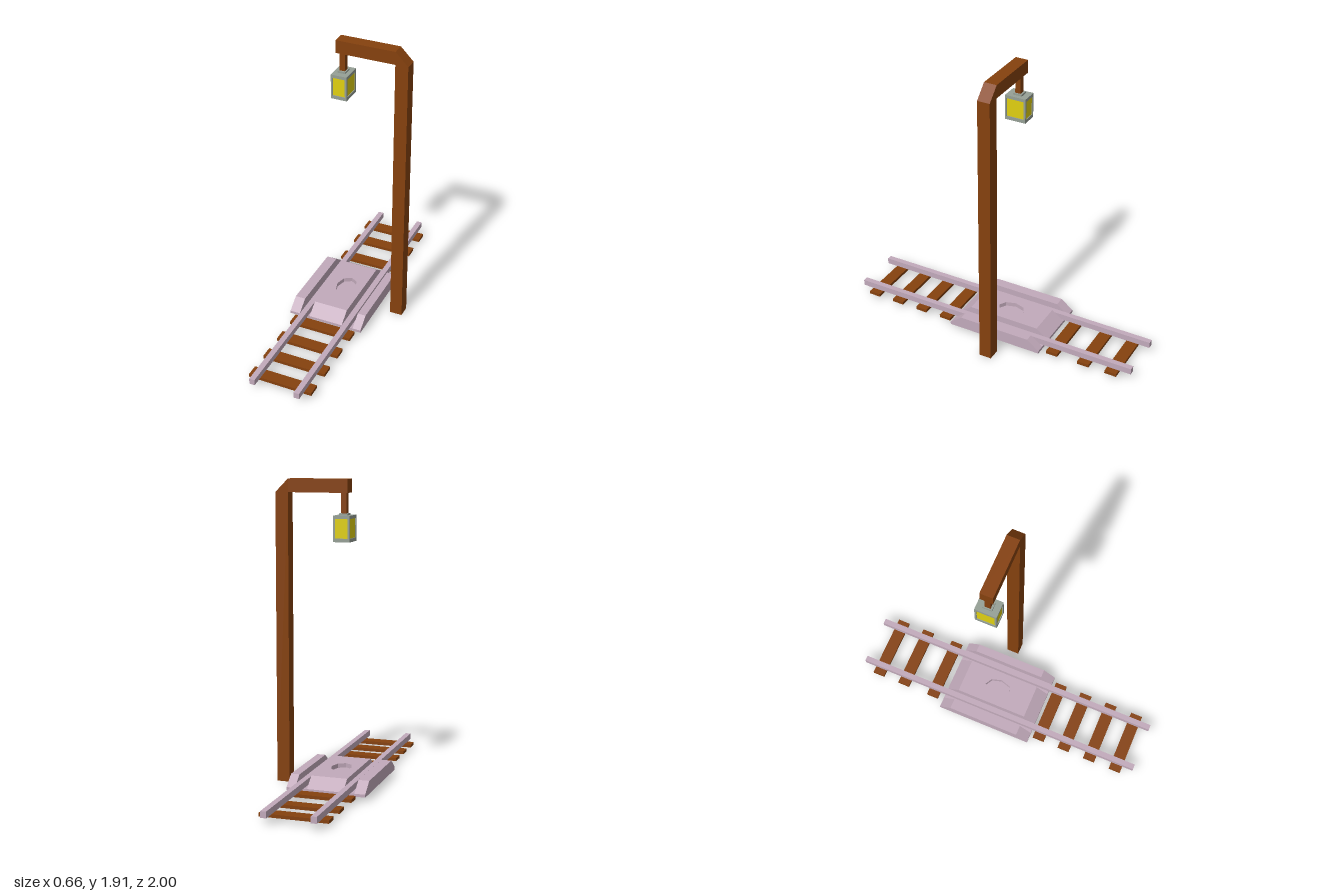
import * as THREE from 'three';

const material = (color, extra = {}) =>
  new THREE.MeshStandardMaterial({ color, flatShading: true, ...extra });

export function createModel() {
  const model = new THREE.Group();
  model.name = 'lampAndTrack';
  const wood = material(0x85410e);
  const stone = material(0xc2aabb);
  const metal = material(0x96a096);
  const glass = material(0xe0d010);

  const add = (parent, name, geometry, mat) => {
    const mesh = new THREE.Mesh(geometry, mat);
    mesh.name = name;
    parent.add(mesh);
    return mesh;
  };
  // Box given by its lower and upper corners
  const box = (parent, name, mat, [x0, y0, z0], [x1, y1, z1]) => {
    const g = new THREE.BoxGeometry(x1 - x0, y1 - y0, z1 - z0);
    g.translate((x0 + x1) / 2, (y0 + y1) / 2, (z0 + z1) / 2);
    return add(parent, name, g, mat);
  };
  const polygon = (points, Type = THREE.Shape) =>
    new Type(points.map(([x, y]) => new THREE.Vector2(x, y)));

  // Track: rails and sleepers
  const track = new THREE.Group();
  track.name = 'track';
  model.add(track);
  for (const x of [-0.223, 0.078]) {
    box(track, 'rail', stone, [x - 0.018, 0.045, -1], [x + 0.018, 0.085, 1]);
  }
  for (const z of [-0.88, -0.69, -0.47, 0.325, 0.51, 0.697, 0.885]) {
    box(track, 'sleeper', wood, [-0.285, 0.025, z - 0.04], [0.14, 0.045, z + 0.04]);
  }

  // Platform: base slab and three blocks with sloped ends, split by rail grooves
  const platform = new THREE.Group();
  platform.name = 'platform';
  model.add(platform);
  const back = -0.39, front = 0.262, low = 0.045, high = 0.108, slope = 0.082;
  box(platform, 'platformBase', stone, [-0.333, 0.027, back], [0.17, low, front]);

  const block = (name, x0, x1, hole) => {
    const shape = polygon([[x0, -front], [x1, -front], [x1, -back], [x0, -back]]);
    if (hole) shape.holes.push(hole);
    const g = new THREE.ExtrudeGeometry(shape, { depth: high - low, bevelEnabled: false });
    g.rotateX(-Math.PI / 2).translate(0, low, 0);
    // Pull the upper end edges inward to form the ramps
    const p = g.attributes.position;
    for (let i = 0; i < p.count; i++) {
      if (p.getY(i) < high - 0.001) continue;
      if (p.getZ(i) > front - 0.001) p.setZ(i, front - slope);
      if (p.getZ(i) < back + 0.001) p.setZ(i, back + slope);
    }
    g.computeVertexNormals();
    add(platform, name, g, stone);
  };
  const octagon = [];
  for (let i = 0; i < 8; i++) {
    const a = -i * Math.PI / 4;
    octagon.push([-0.077 + 0.065 * Math.cos(a), 0.063 + 0.092 * Math.sin(a)]);
  }
  block('outerBlock', -0.333, -0.265);
  block('middleBlock', -0.193, 0.037, polygon(octagon, THREE.Path));
  block('outerBlock', 0.115, 0.17);
  // Floor of the recess in the middle block
  const floor = new THREE.ShapeGeometry(polygon(octagon.slice().reverse()));
  floor.rotateX(-Math.PI / 2).translate(0, 0.08, 0);
  add(platform, 'recessFloor', floor, stone);

  // Lamp post and arm with a chamfered corner
  const lamp = new THREE.Group();
  lamp.name = 'lampPost';
  model.add(lamp);
  const post = new THREE.ExtrudeGeometry(
    polygon([[0.248, 0], [0.33, 0], [0.33, 1.825], [0.248, 1.908],
      [-0.135, 1.908], [-0.135, 1.825], [0.248, 1.825]]),
    { depth: 0.082, bevelEnabled: false });
  post.translate(0, 0, -0.13);
  add(lamp, 'postAndArm', post, wood);
  box(lamp, 'hanger', wood, [-0.122, 1.7, -0.108], [-0.086, 1.826, -0.072]);

  // Lantern: frame of plates and corner bars around recessed glass
  const lantern = new THREE.Group();
  lantern.name = 'lantern';
  lantern.position.set(-0.104, 1.53, -0.09);
  lamp.add(lantern);
  const w = 0.052, d = 0.069, bar = 0.012;
  box(lantern, 'bottomPlate', metal, [-w, 0, -d], [w, 0.022, d]);
  box(lantern, 'topPlate', metal, [-w, 0.14, -d], [w, 0.16, d]);
  box(lantern, 'cap', metal, [-0.026, 0.16, -0.03], [0.026, 0.172, 0.03]);
  for (const sx of [-1, 1]) for (const sz of [-1, 1]) {
    const x = sx * (w - bar / 2), z = sz * (d - bar / 2);
    box(lantern, 'cornerBar', metal,
      [x - bar / 2, 0.022, z - bar / 2], [x + bar / 2, 0.14, z + bar / 2]);
  }
  box(lantern, 'glass', glass, [-w + 0.005, 0.02, -d + 0.005], [w - 0.005, 0.142, d - 0.005]);

  return model;
}
